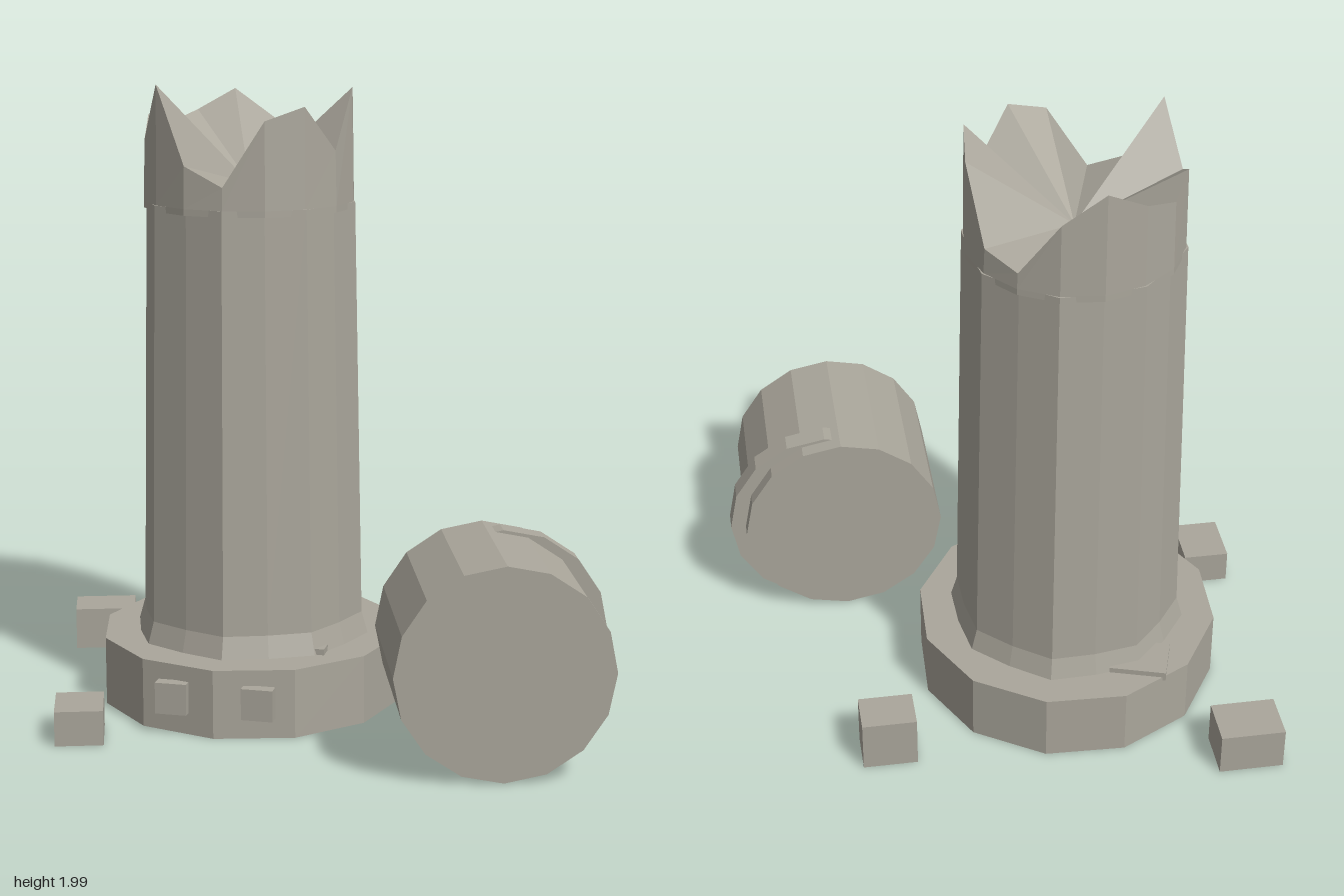
import * as THREE from 'three';

const stone = new THREE.MeshStandardMaterial({ color: 0xaaa69b, flatShading: true });
stone.name = 'weathered stone';

const SIDES = 16;
const AXIS_X = -0.25, AXIS_Z = -0.065; // column axis
const TILT = 0.3;                      // shared turn of the fallen pieces

// Skin a stack of 16-point rings; each ring is k -> [radius, height]. Listed from the bottom up.
function loft(rings) {
  const pos = [], index = [];
  for (const ring of rings) {
    for (let k = 0; k < SIDES; k++) {
      const a = (k / SIDES) * Math.PI * 2;
      const [r, y] = ring(k);
      pos.push(r * Math.sin(a), y, r * Math.cos(a));
    }
  }
  for (let j = 0; j < rings.length - 1; j++) {
    for (let k = 0; k < SIDES; k++) {
      const a = j * SIDES + k, b = j * SIDES + (k + 1) % SIDES;
      index.push(a, b, b + SIDES, a, b + SIDES, a + SIDES);
    }
  }
  const g = new THREE.BufferGeometry();
  g.setAttribute('position', new THREE.Float32BufferAttribute(pos, 3));
  g.setIndex(index);
  const flat = g.toNonIndexed();
  flat.computeVertexNormals();
  return flat;
}

export function createModel() {
  const group = new THREE.Group();
  const add = (name, geometry, x, y, z, parent = group) => {
    const mesh = new THREE.Mesh(geometry, stone);
    mesh.name = name;
    mesh.position.set(x, y, z);
    parent.add(mesh);
    return mesh;
  };

  // Twelve-sided base
  add('base', new THREE.CylinderGeometry(0.49, 0.49, 0.22, 12), AXIS_X, 0.11, AXIS_Z);

  // Shaft: alternate corners are pulled in for shallow facets
  const facet = (r, y) => (k) => [k % 2 ? r * 0.95 : r, y];
  add('shaft', loft([
    facet(0.385, 0.2), facet(0.385, 0.22), facet(0.365, 0.29), facet(0.34, 1.62), () => [0, 1.62],
  ]), AXIS_X, 0, AXIS_Z);

  // Broken crown: jagged rim, with a fan falling to the middle
  const rim = [1.69, 1.89, 1.93, 1.79, 1.975, 1.92, 1.70, 1.67,
    1.85, 1.945, 1.88, 1.84, 1.88, 1.81, 1.99, 1.75];
  add('brokenCrown', loft([
    () => [0.334, 1.6], () => [0.334, 1.62], (k) => [0.33, rim[k]], () => [0, 1.67],
  ]), AXIS_X, 0, AXIS_Z);

  // Raised blocks on the front of the base
  for (const x of [-0.385, -0.11]) {
    add('basePlate', new THREE.BoxGeometry(0.1, 0.1, 0.04), x, 0.12, 0.41);
  }

  // Chips resting on the base
  add('largeChip', new THREE.BoxGeometry(0.18, 0.03, 0.145), -0.52, 0.223, -0.3125);
  add('smallChip', new THREE.BoxGeometry(0.06, 0.03, 0.06), 0.02, 0.224, 0.17);

  // Fallen drum with a slipped band near its back end
  const drum = new THREE.Group();
  drum.name = 'fallenDrum';
  drum.position.set(0.605, 0.33, 0.35);
  drum.rotation.y = TILT;
  group.add(drum);
  const disc = (length) => new THREE.CylinderGeometry(0.33, 0.33, length, SIDES).rotateX(Math.PI / 2);
  add('drumBody', disc(0.52), 0, 0, 0, drum);
  add('drumBand', disc(0.07), 0.05, 0, -0.175, drum);

  // Scattered rubble: x, z, width, height, depth
  for (const [x, z, w, h, d] of [
    [-0.88, -0.45, 0.205, 0.14, 0.157],
    [0.25, -0.613, 0.173, 0.17, 0.133],
    [-0.662, 0.487, 0.15, 0.11, 0.185],
  ]) {
    add('rubble', new THREE.BoxGeometry(w, h, d), x, h / 2, z).rotation.y = TILT;
  }

  return group;
}
